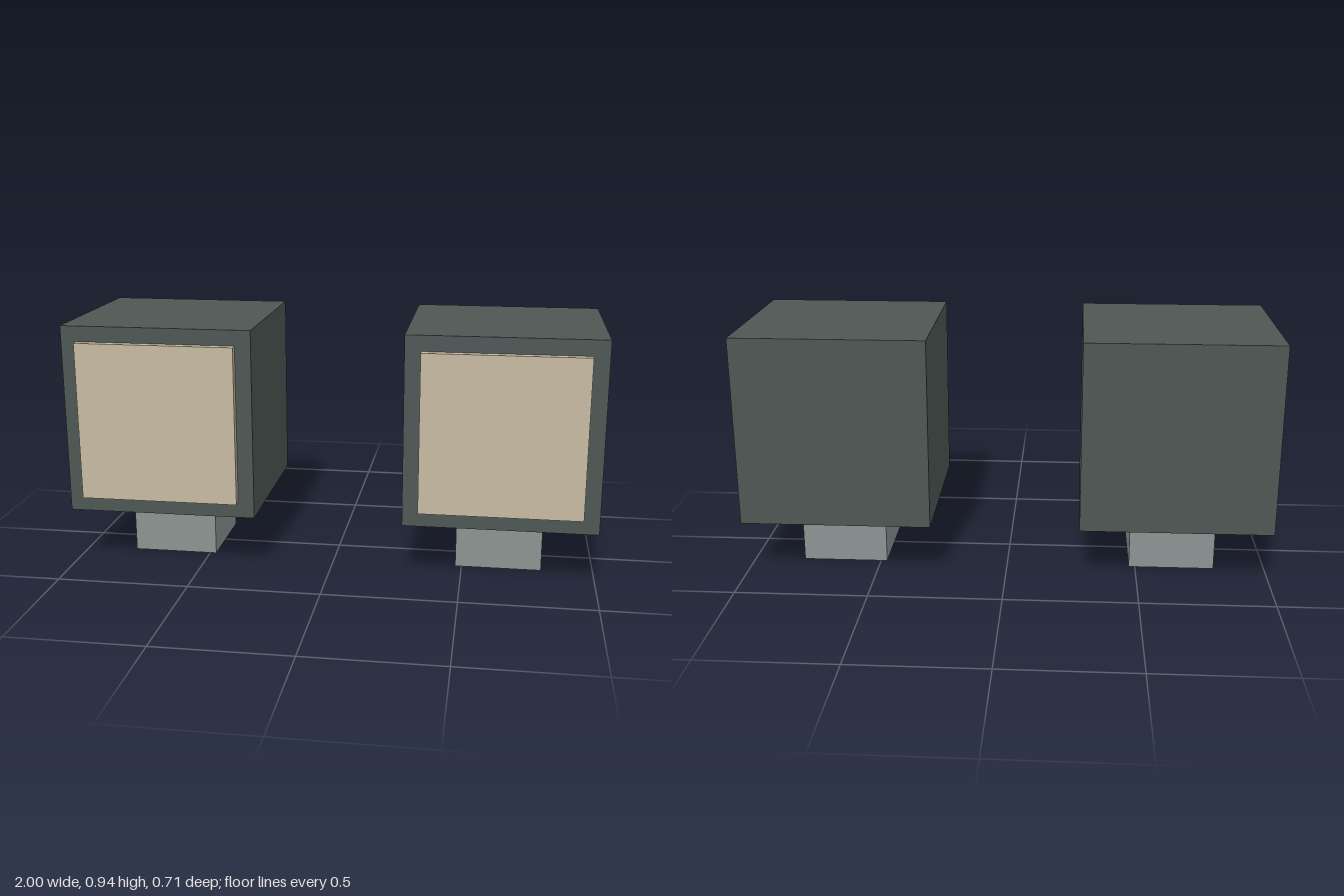
import * as THREE from 'three';

const housingMat = new THREE.MeshStandardMaterial({ name: 'dark grey housing', color: 0x4e5755 });
const lensMat = new THREE.MeshStandardMaterial({ name: 'warm beige lens', color: 0xc6baa1 });
const mountMat = new THREE.MeshStandardMaterial({ name: 'light grey mount', color: 0x8b9492 });

function addBox(group, name, material, size, position) {
  const mesh = new THREE.Mesh(new THREE.BoxGeometry(...size), material);
  mesh.name = name;
  mesh.position.set(...position);
  group.add(mesh);
}

// One square lamp: mounting block, housing and raised front lens
function createLamp(name) {
  const lamp = new THREE.Group();
  lamp.name = name;
  addBox(lamp, 'mount', mountMat, [0.328, 0.218, 0.343], [0, 0.109, -0.016]);
  addBox(lamp, 'housing', housingMat, [0.72, 0.719, 0.681], [0, 0.5775, -0.0155]);
  addBox(lamp, 'lens', lensMat, [0.6, 0.6, 0.032], [0, 0.578, 0.34]);
  return lamp;
}

export function createModel() {
  const model = new THREE.Group();
  model.name = 'lampPair';
  for (const side of [-1, 1]) {
    const lamp = createLamp(side > 0 ? 'leftLamp' : 'rightLamp');
    lamp.position.x = side * 0.64;
    model.add(lamp);
  }
  return model;
}
